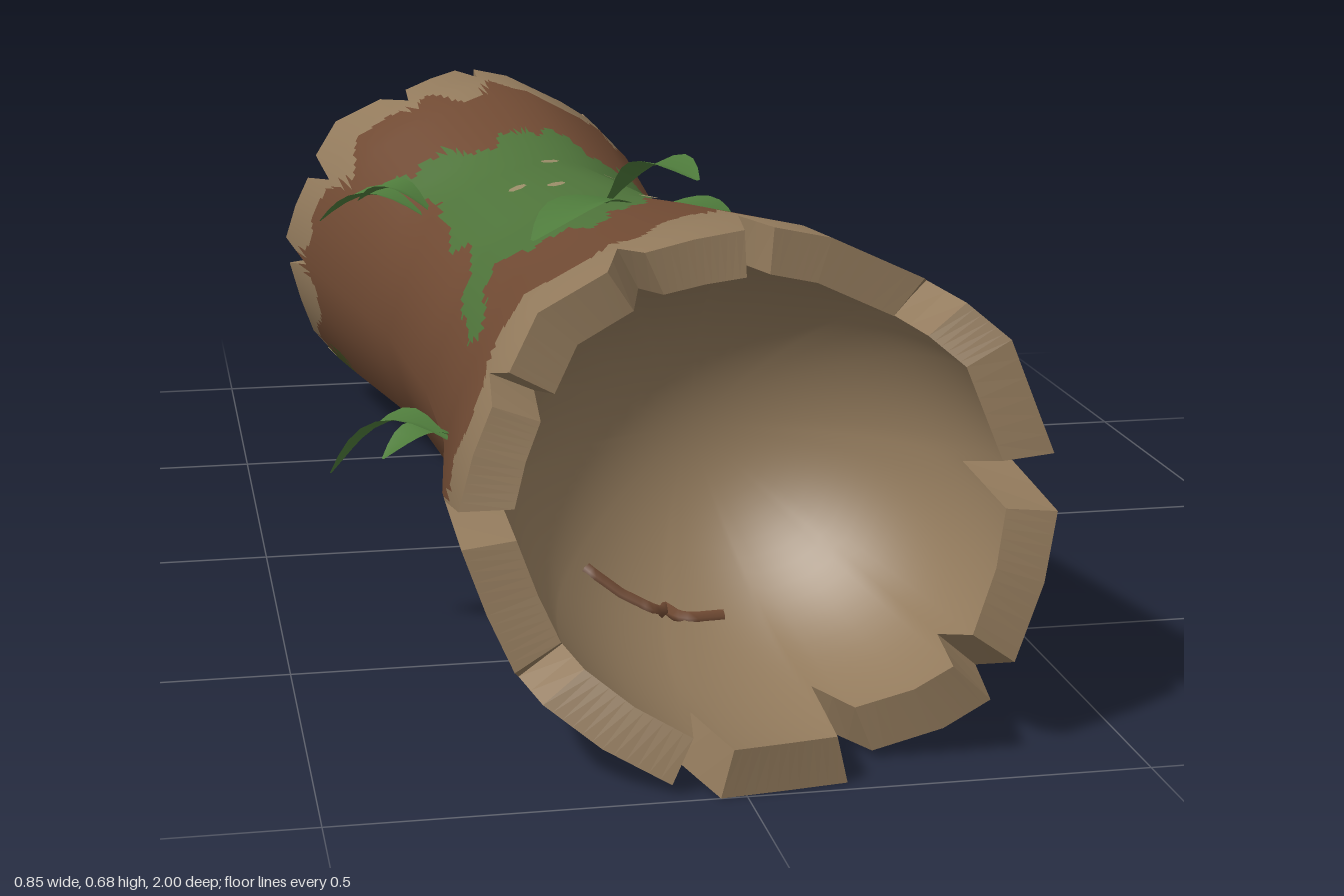
import * as THREE from 'three';

const mat = (name, color) => {
  const m = new THREE.MeshStandardMaterial({ color, side: THREE.DoubleSide });
  m.name = name;
  return m;
};
const lerp = THREE.MathUtils.lerp;

// Cross-section, clockwise from the top, in units of the half width and half height:
// the corner where a stave starts, then the stave's middle
const OUTLINE = [[0, 1], [0.25, 0.94], [0.66, 0.72], [0.83, 0.54], [1, -0.03], [0.91, -0.37], [0.75, -0.74],
  [0.56, -0.89], [0.26, -1], [0, -1], [-0.29, -1], [-0.56, -0.85], [-0.79, -0.66], [-0.9, -0.38],
  [-1, -0.06], [-0.93, 0.2], [-0.84, 0.42], [-0.71, 0.7], [-0.4, 0.88], [-0.2, 0.95]];
const STAVES = 10, SUB = 16, COLS = STAVES * SUB;

// Trunk stations: z, left edge, right edge, top height
const STATIONS = [[-1, -0.43, 0.24, 0.605], [-0.7, -0.365, 0.23, 0.6], [-0.4, -0.28, 0.23, 0.525],
  [0, -0.26, 0.31, 0.535], [0.4, -0.28, 0.37, 0.595], [0.7, -0.32, 0.405, 0.64], [1, -0.335, 0.44, 0.66]];

// Splintered ends: start z, end z and notch depth at the start of each stave
const FRONT = [[0.81, 0.82, 0.08], [0.82, 0.87, 0.09], [0.87, 0.92, 0.15], [0.93, 0.91, 0.08], [0.98, 1, 0.1],
  [0.98, 0.91, 0.11], [0.9, 0.87, 0.05], [0.87, 0.83, 0.13], [0.83, 0.8, 0.11], [0.79, 0.83, 0.08]];
const BACK = [[0.87, 0.88, 0.1], [0.92, 1, 0.08], [0.99, 0.97, 0.18], [0.97, 0.96, 0.08], [0.97, 0.98, 0.1],
  [0.97, 0.93, 0.1], [0.92, 0.88, 0.13], [0.89, 0.88, 0.13], [0.89, 0.85, 0.11], [0.83, 0.86, 0.08]];

function section(t) {
  const h = t * 2, k = Math.floor(h), f = h - k, n = OUTLINE.length;
  const a = OUTLINE[k % n], b = OUTLINE[(k + 1) % n];
  return [lerp(a[0], b[0], f), lerp(a[1], b[1], f)];
}

function frame(z) {
  let i = 0;
  while (i < STATIONS.length - 2 && z > STATIONS[i + 1][0]) i++;
  const p = STATIONS[i], q = STATIONS[i + 1], f = (z - p[0]) / (q[0] - p[0]);
  const l = lerp(p[1], q[1], f), r = lerp(p[2], q[2], f), h = lerp(p[3], q[3], f);
  return { x: (l + r) / 2, a: (r - l) / 2, b: h / 2 };
}

function point(t, z, scale = 1) {
  const [u, v] = section(t), c = frame(z);
  return new THREE.Vector3(c.x + u * c.a * scale, c.b + v * c.b * scale, z);
}

function normalAt(t, z) {
  const [u, v] = section(t), c = frame(z);
  const n = new THREE.Vector3(u / c.a, v / c.b, 0).normalize();
  const slope = point(t, z + 0.06).sub(point(t, z - 0.06)).divideScalar(0.12);
  n.z = -(n.x * slope.x + n.y * slope.y);
  return n.normalize();
}

// Distance of the broken edge from the middle
function edge(table, t) {
  const k = Math.floor(t) % STAVES, f = t - Math.floor(t), w = 2 / SUB;
  const s = table[k], prev = table[(k + STAVES - 1) % STAVES], next = table[(k + 1) % STAVES];
  const low = Math.min(s[0], prev[1]) - s[2], high = Math.min(next[0], s[1]) - next[2];
  if (f < w) return lerp(low, s[0], f / w);
  if (f > 1 - w) return lerp(high, s[1], (1 - f) / w);
  return lerp(s[0], s[1], (f - w) / (1 - 2 * w));
}

// Closed band of COLS columns; classify picks a material index for each cell, or -1 for a gap
function band(rows, at, flip, { classify = () => 0, normal } = {}) {
  const pos = [], normals = [], buckets = [];
  for (let j = 0; j <= rows; j++) {
    for (let i = 0; i < COLS; i++) {
      pos.push(...at(i / SUB, j / rows).toArray());
      if (normal) normals.push(...normal(i / SUB, j / rows).toArray());
    }
  }
  for (let j = 0; j < rows; j++) {
    for (let i = 0; i < COLS; i++) {
      const a = j * COLS + i, b = j * COLS + (i + 1) % COLS, c = b + COLS, d = a + COLS;
      const m = classify((i + 0.5) / SUB, (j + 0.5) / rows);
      if (m >= 0) (buckets[m] ??= []).push(...(flip ? [a, b, d, b, c, d] : [a, d, b, b, d, c]));
    }
  }
  const g = new THREE.BufferGeometry(), index = [];
  g.setAttribute('position', new THREE.Float32BufferAttribute(pos, 3));
  if (normal) g.setAttribute('normal', new THREE.Float32BufferAttribute(normals, 3));
  buckets.forEach((list, m) => {
    g.addGroup(index.length, list.length, m);
    for (const n of list) index.push(n);
  });
  g.setIndex(index);
  return g;
}

const wave = (x, s) => 0.5 * Math.sin(x * 7 + s) + 0.3 * Math.sin(x * 17 + 2 * s) + 0.2 * Math.sin(x * 41 + s);

// Colour zones of the outside: 0 bark, 1 bare wood, 2 moss, 3 damp moss, -1 open underside
function zone(t, z) {
  const around = t * Math.PI / 5, p = point(t, z), [u, v] = section(t);
  if (t > 4 && t < 5 && Math.abs(z) < 0.86) return -1;
  const ragged = 0.5 * Math.sin(around * 7) + 0.35 * Math.sin(around * 13 + 1) + 0.15 * Math.sin(around * 23);
  if (z > 0.73 - 0.1 * v + 0.06 * ragged || z < -0.77 + 0.08 * v - 0.06 * ragged) return 1;
  if (p.y < 0.088 + 0.04 * wave(z, 1)) return 3;
  const right = lerp(0.76, 0.1, THREE.MathUtils.smoothstep(z, -0.1, 0.38)) + 0.1 * wave(z, 2);
  const left = -0.73 + 0.08 * wave(z, 4);
  const from = -0.5 + 0.05 * wave(u, 3), to = 0.28 + 0.1 * wave(u * 1.5, 5);
  if (v > 0.3 && u > left && u < right && z > from && z < to) return 2;
  const patch = (cz, cy, rz, ry, side) => u * side > 0 &&
    Math.hypot((z - cz) / rz, (p.y - cy) / ry) < 1 + 0.35 * wave(z * 2, cz * 9);
  if (patch(0.25, 0.43, 0.17, 0.03, 1) || patch(-0.25, 0.3, 0.08, 0.022, 1) ||
    patch(0.02, 0.335, 0.03, 0.015, 1) || patch(0.2, 0.42, 0.16, 0.03, -1)) return 2;
  return 0;
}

// Curved leaf built from creased cross-sections
function leafGeometry(base, tip, width, lift) {
  const a = new THREE.Vector3(...base), b = new THREE.Vector3(...tip);
  const side = new THREE.Vector3(b.z - a.z, 0, a.x - b.x).normalize();
  const pos = [], index = [], N = 8;
  for (let i = 0; i <= N; i++) {
    const s = i / N, p = a.clone().lerp(b, s);
    p.y += lift * Math.sin(Math.PI * s);
    const w = width * (0.1 + 0.9 * Math.sin(Math.PI * Math.pow(s, 1.25)));
    for (const k of [-1, 0, 1]) {
      const q = p.clone().addScaledVector(side, k * w / 2);
      q.y += Math.abs(k) * w * 0.12;
      pos.push(q.x, q.y, q.z);
    }
    if (i < N) for (const k of [0, 1]) {
      const n = i * 3 + k;
      index.push(n, n + 3, n + 1, n + 1, n + 3, n + 4);
    }
  }
  const g = new THREE.BufferGeometry();
  g.setAttribute('position', new THREE.Float32BufferAttribute(pos, 3));
  g.setIndex(index);
  g.computeVertexNormals();
  return g;
}

export function createModel() {
  const log = new THREE.Group();
  log.name = 'hollowLog';
  const bark = mat('bark', 0x704a33), wood = mat('bareWood', 0x927a5c), moss = mat('moss', 0x4e733a);
  const damp = mat('dampMoss', 0x505a2a), leaf = mat('leaf', 0x4f7c3c), spore = mat('spore', 0x978a66);
  const add = (name, geometry, material) => {
    const m = new THREE.Mesh(geometry, material);
    m.name = name;
    log.add(m);
    return m;
  };

  // Outer trunk
  const zAt = (t, f) => lerp(-edge(BACK, t), edge(FRONT, t), f);
  add('trunk', band(150, (t, f) => point(t, zAt(t, f)), false, {
    classify: (t, f) => zone(t, zAt(t, f)),
    normal: (t, f) => normalAt(t, zAt(t, f)),
  }), [bark, wood, moss, damp]);

  // Splintered rims and rounded hollows at both ends
  const WALL = 0.82, FLOOR = 0.47;
  const hollowPoint = (table, sign, t, s) =>
    point(t, sign * lerp(edge(table, t), FLOOR, s), WALL * Math.sqrt(Math.max(0, 1 - s * s)));
  const hollowNormal = (sign, t, s) => {
    const [u, v] = section(t), r = Math.sqrt(Math.max(0, 1 - s * s));
    return new THREE.Vector3(-u * r, -v * r, sign * s).normalize();
  };
  for (const [name, table, sign] of [['front', FRONT, 1], ['back', BACK, -1]]) {
    const rim = band(1, (t, f) => point(t, sign * edge(table, t), lerp(1, WALL, f)), sign < 0).toNonIndexed();
    rim.computeVertexNormals();
    add(name + 'Rim', rim, wood);
    const depth = (f) => Math.sin(f * Math.PI / 2);
    add(name + 'Hollow', band(20, (t, f) => hollowPoint(table, sign, t, depth(f)), sign < 0,
      { normal: (t, f) => hollowNormal(sign, t, depth(f)) }), wood);
  }

  // Bark streak inside the front hollow
  const streak = Array.from({ length: 15 }, (_, i) => hollowPoint(FRONT, 1, 4.5 + i * 0.1, 0.6));
  add('barkStreak', new THREE.TubeGeometry(new THREE.CatmullRomCurve3(streak), 28, 0.009, 5), bark);

  // Pale spores on the moss: position around the trunk, z
  for (const [t, z] of [[9.95, -0.31], [0.65, -0.33], [9.2, -0.2], [9.6, -0.14], [0.4, -0.01], [9.1, 0.04]]) {
    const n = normalAt(t, z);
    const spot = add('spore', new THREE.CircleGeometry(0.015, 7), spore);
    spot.position.copy(point(t, z)).addScaledVector(n, 0.004);
    spot.quaternion.setFromUnitVectors(new THREE.Vector3(0, 0, 1), n);
  }

  // Leaves: base, tip, width, lift
  [[[-0.03, 0.6, 0.41], [-0.18, 0.58, 0.54], 0.075, 0.02],
    [[-0.06, 0.6, 0.41], [0.03, 0.655, 0.56], 0.08, 0.035],
    [[-0.28, 0.3, 0.47], [-0.43, 0.235, 0.37], 0.08, 0.05],
    [[-0.27, 0.3, 0.45], [-0.37, 0.28, 0.47], 0.07, 0.02],
    [[-0.21, 0.43, -0.4], [-0.37, 0.41, -0.49], 0.08, 0.04],
    [[-0.2, 0.44, -0.38], [-0.31, 0.45, -0.45], 0.08, 0.03],
    [[0.24, 0.29, -0.28], [0.37, 0.275, -0.19], 0.08, 0.03],
    [[0.23, 0.29, -0.26], [0.29, 0.3, -0.37], 0.08, 0.02],
    [[0.07, 0.535, 0.12], [0.17, 0.51, 0.2], 0.075, 0.02],
  ].forEach((args) => add('leaf', leafGeometry(...args), leaf));

  return log;
}
